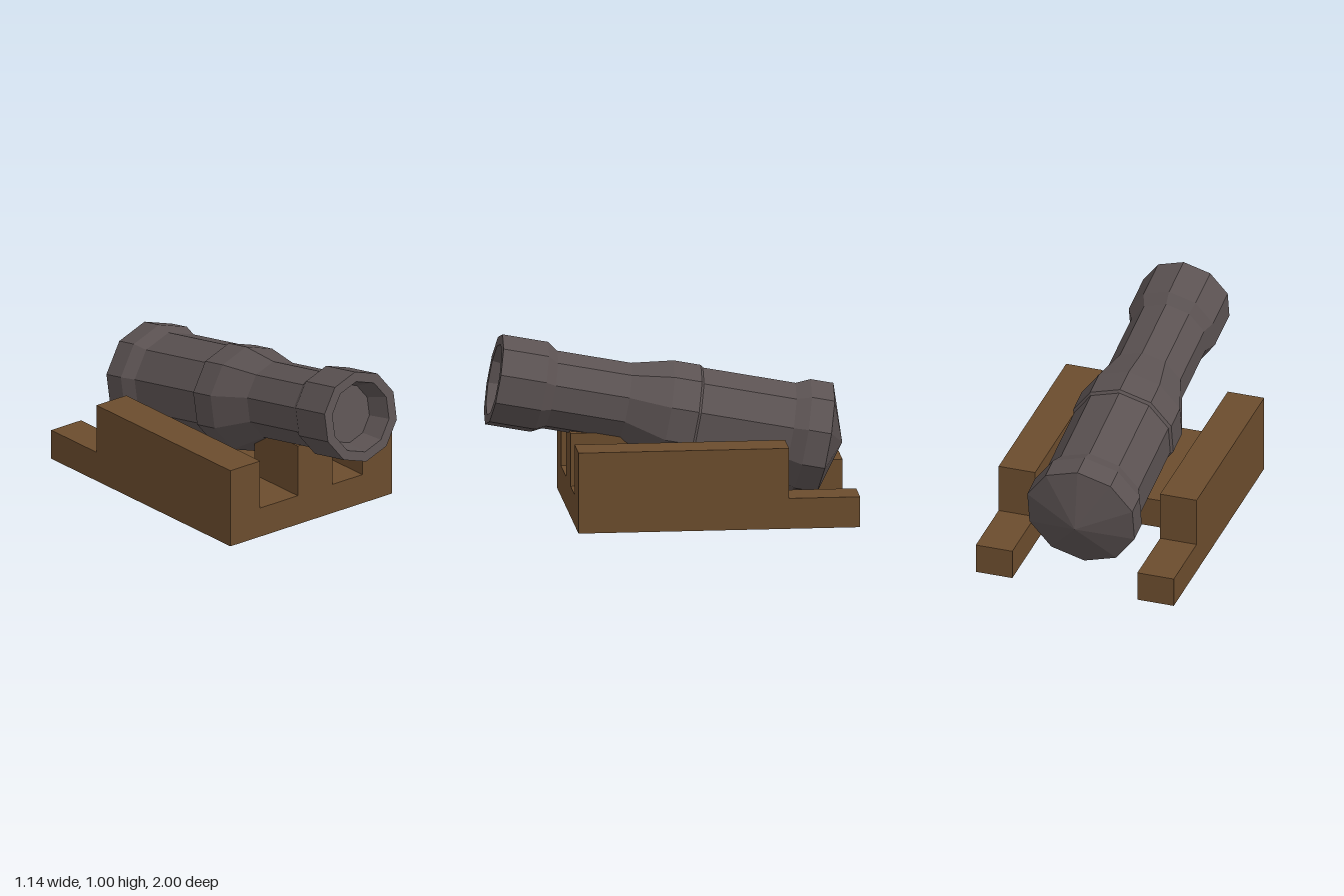
import * as THREE from 'three';
import { mergeGeometries } from 'three/addons/utils/BufferGeometryUtils.js';

const wood = new THREE.MeshStandardMaterial({ color: 0x6b4c2d, side: THREE.DoubleSide });
wood.name = 'brown wood';
const iron = new THREE.MeshStandardMaterial({ color: 0x5b5252 });
iron.name = 'dark iron';

// Chosen faces of a box given by [min, max] ranges, e.g. '+x -z +y'
function boxFaces([x0, x1], [y0, y1], [z0, z1], faces) {
  const w = x1 - x0, h = y1 - y0, d = z1 - z0;
  const make = {
    '+x': () => new THREE.PlaneGeometry(d, h).rotateY(Math.PI / 2).translate(w / 2, 0, 0),
    '-x': () => new THREE.PlaneGeometry(d, h).rotateY(-Math.PI / 2).translate(-w / 2, 0, 0),
    '+y': () => new THREE.PlaneGeometry(w, d).rotateX(-Math.PI / 2).translate(0, h / 2, 0),
    '+z': () => new THREE.PlaneGeometry(w, h).translate(0, 0, d / 2),
    '-z': () => new THREE.PlaneGeometry(w, h).rotateY(Math.PI).translate(0, 0, -d / 2),
  };
  return faces.split(' ').map((f) =>
    make[f]().translate((x0 + x1) / 2, (y0 + y1) / 2, (z0 + z1) / 2));
}

function woodPart(name, ...pieces) {
  const mesh = new THREE.Mesh(mergeGeometries(pieces.flat()), wood);
  mesh.name = name;
  return mesh;
}

// Carriage: a hollow shell, open underneath
const BACK = -1, STEP = -0.61, BAR = -0.23, FRONT = 0.545;
const LOW = 0.17, HIGH = 0.45, IN = 0.36, OUT = 0.57;

function createCarriage() {
  const carriage = new THREE.Group();
  carriage.name = 'carriage';

  for (const side of [1, -1]) {
    const xs = side > 0 ? [IN, OUT] : [-OUT, -IN];
    const outer = side > 0 ? '+x' : '-x';
    const inner = side > 0 ? '-x' : '+x';
    carriage.add(woodPart(side > 0 ? 'leftRail' : 'rightRail',
      boxFaces(xs, [LOW, HIGH], [STEP, FRONT], '+x -x +y +z -z'),
      boxFaces(xs, [0, LOW], [BACK, FRONT], `${outer} +z -z`),
      boxFaces(xs, [0, LOW], [BACK, BAR], inner),
      boxFaces(xs, [0, LOW], [BACK, STEP], '+y')));
  }

  // Bed between the rails, open beneath the support block
  const block = [-0.095, 0.15], blockBack = 0.17;
  carriage.add(woodPart('bed',
    boxFaces([-IN, IN], [0, LOW], [BAR, FRONT], '+z -z'),
    boxFaces([-IN, block[0]], [0, LOW], [BAR, FRONT], '+y'),
    boxFaces([block[1], IN], [0, LOW], [BAR, FRONT], '+y'),
    boxFaces(block, [0, LOW], [BAR, blockBack], '+y')));

  carriage.add(woodPart('supportBlock',
    boxFaces(block, [LOW, 0.465], [blockBack, FRONT], '+x -x +y +z -z')));
  return carriage;
}

// Barrel: ten-sided lathe from the breech tip to the muzzle and into the bore
function createBarrel() {
  const profile = [ // radius, distance behind the muzzle
    [0, 1.952], [0.318, 1.842], [0.318, 1.715], [0.284, 1.637], // breech
    [0.284, 1.12], [0.297, 1.106], [0.297, 0.954],              // middle band
    [0.22, 0.725], [0.22, 0.313], [0.255, 0.254], [0.255, 0],   // neck and muzzle
    [0.2, 0], [0.166, 0.13], [0, 0.13],                         // bore
  ].map(([r, s]) => new THREE.Vector2(r, -s));
  const geo = new THREE.LatheGeometry(profile, 10).rotateX(Math.PI / 2);

  // The rear half sits slightly below the muzzle axis
  const pos = geo.attributes.position;
  for (let i = 0; i < pos.count; i++) {
    const s = -pos.getZ(i);
    const drop = s > 0.9 ? 0.03 : s > 0.3 ? 0.005 : 0;
    pos.setY(i, pos.getY(i) - drop);
  }
  const faceted = geo.toNonIndexed();
  faceted.computeVertexNormals();

  const barrel = new THREE.Mesh(faceted, iron);
  barrel.name = 'barrel';
  barrel.rotation.x = -Math.asin(0.188);
  barrel.position.set(0.015, 0.7475, 0.9525);
  return barrel;
}

export function createModel() {
  const model = new THREE.Group();
  model.name = 'cannon';
  model.add(createCarriage(), createBarrel());
  return model;
}
